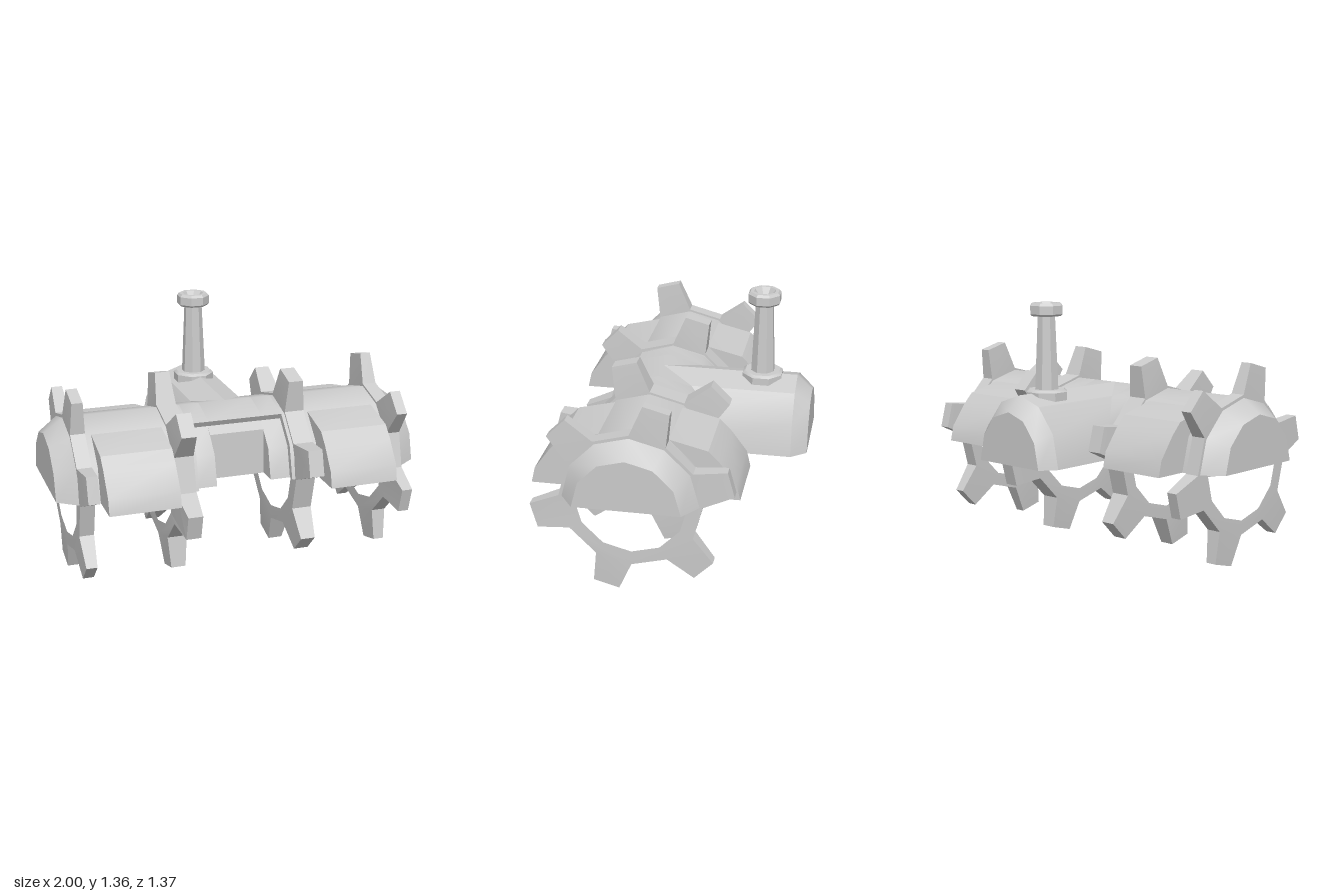
import * as THREE from 'three';
import { toCreasedNormals } from 'three/addons/utils/BufferGeometryUtils.js';

const AXLE_Y = 0.535, AXLE_Z = 0.14;
const R = 0.36; // body radius
const CREASE = 0.56;
const DEG = Math.PI / 180;
const material = new THREE.MeshStandardMaterial({ color: 0xcccccc });

function addMesh(parent, name, geometry, crease = CREASE) {
  const mesh = new THREE.Mesh(toCreasedNormals(geometry, crease), material);
  mesh.name = name;
  parent.add(mesh);
  return mesh;
}

function lathe(points, sides, phi = 0) {
  return new THREE.LatheGeometry(points.map(([r, h]) => new THREE.Vector2(r, h)), sides, phi);
}

// Moves every vertex by a rule
function reshape(geometry, rule) {
  const p = geometry.attributes.position, v = new THREE.Vector3();
  for (let i = 0; i < p.count; i++) {
    rule(v.fromBufferAttribute(p, i));
    p.setXYZ(i, v.x, v.y, v.z);
  }
  return geometry;
}

// Flattens everything below the axle, giving a half-round solid with a flat base
const halve = (geometry) => reshape(geometry, (v) => { v.y = Math.max(v.y, 0); });

// Extrudes an outline of [z, y] points along x
function extrudeX(outline, x0, x1, hole) {
  const toVec = ([z, y]) => new THREE.Vector2(-z, y);
  const shape = new THREE.Shape(outline.map(toVec));
  if (hole) shape.holes.push(new THREE.Path(hole.map(toVec)));
  const g = new THREE.ExtrudeGeometry(shape, { depth: x1 - x0, bevelEnabled: false });
  return g.rotateY(Math.PI / 2).translate(x0, 0, 0);
}

const polar = (r, deg) => [r * Math.cos(deg * DEG), r * Math.sin(deg * DEG)];

// Twelve-sided ring with six tapered teeth on alternate sides
function gearGeometry(phase, rootHalf, tipHalf) {
  const outline = [], hole = [];
  for (let i = 0; i < 6; i++) {
    const a = phase + i * 60;
    outline.push(polar(0.372, a - 15), polar(0.535, a - 7.5), polar(0.535, a + 7.5), polar(0.372, a + 15));
  }
  for (let i = 0; i < 12; i++) hole.push(polar(0.295, i * 30));
  return reshape(extrudeX(outline, -1, 1, hole), (v) => {
    v.x *= Math.hypot(v.y, v.z) > 0.45 ? tipHalf : rootHalf;
  });
}

export function createModel() {
  const model = new THREE.Group();
  const axle = new THREE.Group();
  axle.name = 'axleHousing';
  axle.position.set(0, AXLE_Y, AXLE_Z);
  model.add(axle);

  // Half-round side bodies with bevelled ends
  const sideProfile = [[0, 0.26], [R, 0.26], [R, 0.89], [0.28, 1], [0, 1]];
  const mirrored = sideProfile.map(([r, h]) => [r, -h]).reverse();
  for (const [name, profile] of [['leftBody', sideProfile], ['rightBody', mirrored]]) {
    addMesh(axle, name, halve(lathe(profile, 12).rotateZ(-Math.PI / 2)));
  }

  // Centre body: recessed front panel with a notch in the middle
  const backArc = [60, 90, 120, 150, 180].map((a) => polar(R, a));
  const panel = [polar(0.325, 0), polar(0.325, 30), polar(0.325, 60)];
  const notch = [[0.215, 0], [0.205, 0.245], polar(0.325, 60)];
  addMesh(axle, 'centreNotch', extrudeX([...notch, ...backArc], -0.15, 0.15));
  for (const s of [-1, 1]) {
    addMesh(axle, 'centrePanel', extrudeX([...panel, ...backArc], s < 0 ? -0.265 : 0.15, s < 0 ? -0.15 : 0.265));
  }

  // Wide drum covers bulging to front and back
  const bulge = [[0.545, 0], [0.525, 0.085], [0.44, 0.2], [0.38, 0.262], [0.18, 0.311]];
  const cover = [...bulge, ...bulge.map(([z, y]) => [-z, y]).reverse()];
  for (const [name, x] of [['leftCover', 0.41], ['rightCover', -0.785]]) {
    addMesh(axle, name, extrudeX(cover, x, x + 0.375));
  }

  // Toothed wheels, neighbours turned half a step
  for (const [name, x, phase, root, tip] of [
    ['rightOuterWheel', -0.857, 15, 0.039, 0.029],
    ['rightInnerWheel', -0.332, -15, 0.054, 0.04],
    ['leftInnerWheel', 0.332, 15, 0.054, 0.04],
    ['leftOuterWheel', 0.857, -15, 0.039, 0.029],
  ]) {
    addMesh(axle, name, gearGeometry(phase, root, tip), 0.2).position.x = x;
  }

  // Half-round rear housing with a bevelled end
  const rear = lathe([[0, 0], [R, 0], [R, 0.742], [0.28, 0.825], [0, 0.825]], 12);
  rear.rotateX(-Math.PI / 2).scale(0.28 / R, 1, 1);
  addMesh(axle, 'rearHousing', halve(rear));

  // Exhaust stack: flange, tapered post and hollow eight-sided head
  const stack = new THREE.Group();
  stack.name = 'stack';
  stack.position.set(-0.008, 0, -0.41);
  model.add(stack);
  const parts = {
    stackFlange: [[0, 0.8], [0.115, 0.8], [0.115, 0.9], [0.1, 0.912], [0, 0.912]],
    stackPost: [[0, 0.9], [0.067, 0.9], [0.049, 1.31], [0, 1.31]],
    stackHead: [[0, 1.3], [0.083, 1.3], [0.091, 1.31], [0.091, 1.355], [0.08, 1.368],
      [0.06, 1.368], [0.022, 1.315], [0, 1.315]],
  };
  for (const [name, profile] of Object.entries(parts)) {
    addMesh(stack, name, lathe(profile, 8, Math.PI / 8));
  }
  return model;
}
